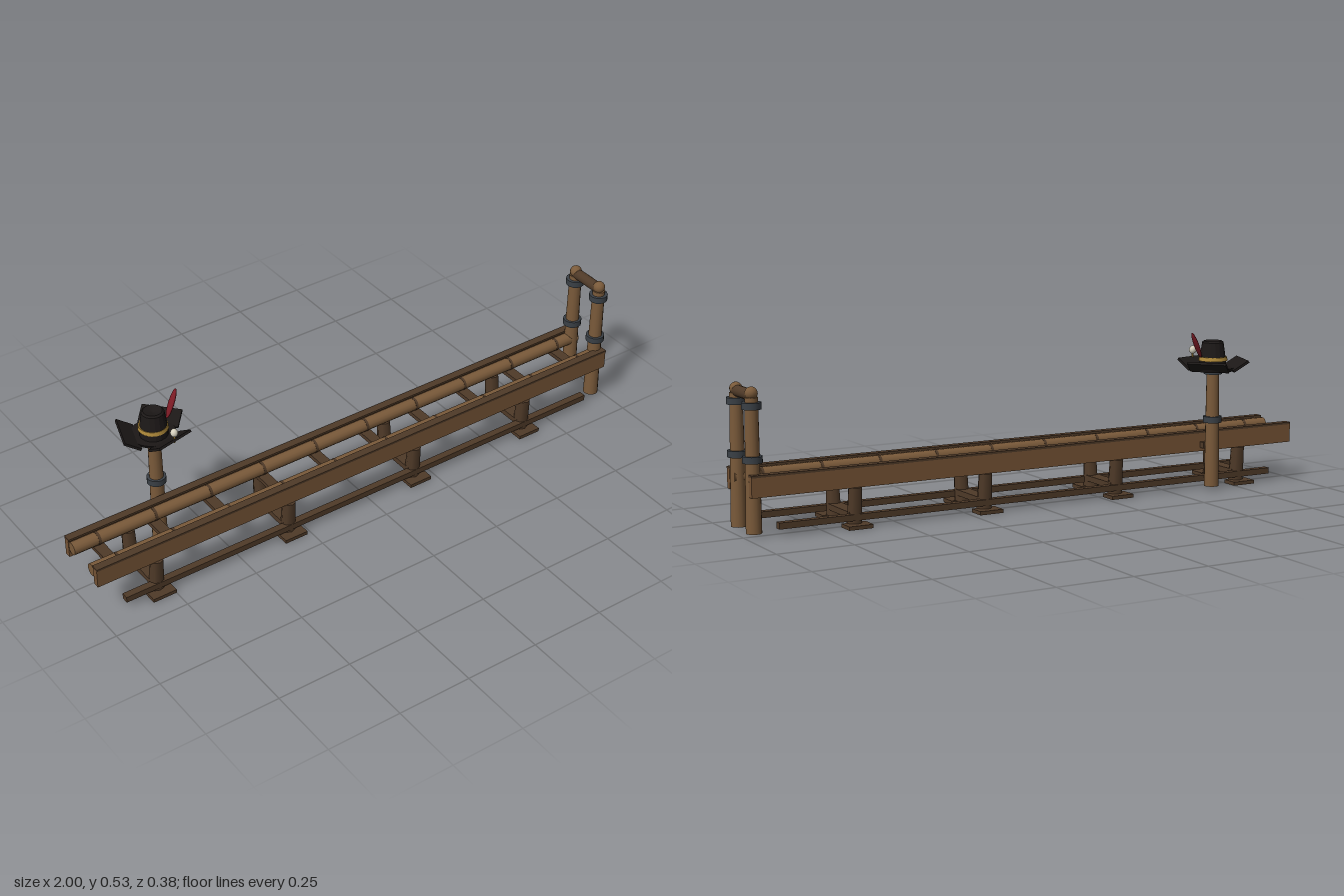
import * as THREE from 'three';

const mat = (color, flatShading = false) =>
  new THREE.MeshStandardMaterial({ color, flatShading, roughness: 0.9 });
const wood = mat(0x7a5a3a), beamWood = mat(0x755335), darkWood = mat(0x4f3a28);
const iron = mat(0x3a4046), felt = mat(0x1c1817, true), gold = mat(0xb08a3a);
const red = mat(0x7a1a24), ivory = mat(0xd8d2c0);

const MID = 0.0595; // centre line of the track in z

export function createModel() {
  const root = new THREE.Group();

  const add = (parent, name, geometry, material, x, y, z) => {
    const mesh = new THREE.Mesh(geometry, material);
    mesh.name = name;
    mesh.position.set(x, y, z);
    parent.add(mesh);
    return mesh;
  };
  const box = (parent, name, m, w, h, d, x, y, z) =>
    add(parent, name, new THREE.BoxGeometry(w, h, d), m, x, y, z);
  const cyl = (parent, name, m, rTop, rBottom, h, x, y, z, sides = 14) =>
    add(parent, name, new THREE.CylinderGeometry(rTop, rBottom, h, sides), m, x, y, z);

  // Upright post with two iron bands
  const post = (name, x, z, top) => {
    const g = new THREE.Group();
    g.name = name;
    g.position.set(x, 0, z);
    root.add(g);
    cyl(g, 'postShaft', wood, 0.0205, 0.025, top - 0.011, 0, (top + 0.011) / 2, 0);
    cyl(g, 'lowerBand', iron, 0.031, 0.031, 0.021, 0, 0.237, 0);
    cyl(g, 'upperBand', iron, 0.031, 0.031, 0.021, 0, 0.4, 0);
    return g;
  };

  // Two mirrored sides of the track: side +1 is the front, -1 the back
  const tieXs = Array.from({ length: 10 }, (_, i) => -0.91 + i * 0.2);
  const standXs = [-0.79, -0.305, 0.185, 0.64];
  for (const side of [1, -1]) {
    const at = (d) => MID + side * d;
    box(root, 'sideBeam', beamWood, 1.985, 0.062, 0.021, -0.0075, 0.156, at(0.086));
    box(root, 'beamCap', darkWood, 1.985, 0.007, 0.027, -0.0075, 0.19, at(0.085));
    cyl(root, 'railLog', wood, 0.021, 0.021, 1.98, -0.008, 0.167, at(0.0595)).rotation.z = Math.PI / 2;
    for (const x of tieXs)
      cyl(root, 'logBand', darkWood, 0.0218, 0.0218, 0.009, x, 0.167, at(0.0595)).rotation.z = Math.PI / 2;
    box(root, 'groundRail', darkWood, 1.81, 0.02, 0.024, -0.005, 0.033, at(0.09));
    for (const x of standXs) {
      const leg = cyl(root, 'leg', darkWood, 0.022, 0.025, 0.118, x, 0.068, at(0.08), 8);
      leg.rotation.x = side * 0.08;
      box(root, 'foot', darkWood, 0.082, 0.012, 0.057, x, 0.006, at(0.098));
    }
  }
  for (const x of tieXs) box(root, 'tie', darkWood, 0.036, 0.014, 0.16, x, 0.138, MID);
  for (const x of standXs) box(root, 'lowerCrossbar', darkWood, 0.045, 0.019, 0.17, x, 0.039, MID);

  // End gate: two posts with round tops joined by a bar
  for (const z of [0.119, 0]) {
    const g = post('gatePost', 0.965, z, 0.425);
    add(g, 'postKnob', new THREE.SphereGeometry(0.02, 14, 10), wood, 0, 0.437, 0);
  }
  cyl(root, 'gateBar', darkWood, 0.018, 0.018, 0.119, 0.965, 0.431, MID).rotation.x = Math.PI / 2;

  // Hat post, tied to the back beam
  const hx = -0.653, hz = -0.07;
  post('hatPost', hx, hz, 0.41);
  box(root, 'hatPostBracket', darkWood, 0.05, 0.02, 0.03, hx, 0.147, -0.042);

  // Hat with three upturned flaps
  const hat = new THREE.Group();
  hat.name = 'hat';
  hat.position.set(hx, 0, hz - 0.004);
  root.add(hat);
  cyl(hat, 'hatBrim', felt, 0.072, 0.066, 0.012, 0, 0.407, 0, 18);
  for (const deg of [78, 198, 318]) {
    const pivot = new THREE.Group();
    pivot.name = 'brimFlap';
    pivot.rotation.y = -THREE.MathUtils.degToRad(deg);
    hat.add(pivot);
    box(pivot, 'flapPanel', felt, 0.06, 0.008, 0.13, 0.076, 0.42, 0).rotation.z = 0.56;
  }
  const crown = [[0, 0.408], [0.045, 0.408], [0.044, 0.44], [0.036, 0.495], [0.03, 0.5], [0, 0.492]]
    .map(([r, y]) => new THREE.Vector2(r, y));
  add(hat, 'hatCrown', new THREE.LatheGeometry(crown, 16), felt, 0, 0, 0.006);
  cyl(hat, 'hatBand', gold, 0.046, 0.048, 0.013, 0, 0.441, 0.004, 20);

  // Feather and ornament
  const feather = add(hat, 'feather', new THREE.SphereGeometry(1, 12, 10), red, 0.072, 0.49, -0.004);
  feather.scale.set(0.007, 0.049, 0.014);
  feather.rotation.set(-0.15, 0, -0.48);
  const bead = add(hat, 'bead', new THREE.SphereGeometry(0.012, 14, 10), ivory, 0.02, 0.461, 0.095);
  bead.scale.y = 1.15;
  cyl(hat, 'beadPin', gold, 0.003, 0.003, 0.03, 0.02, 0.44, 0.095, 8);

  return root;
}
